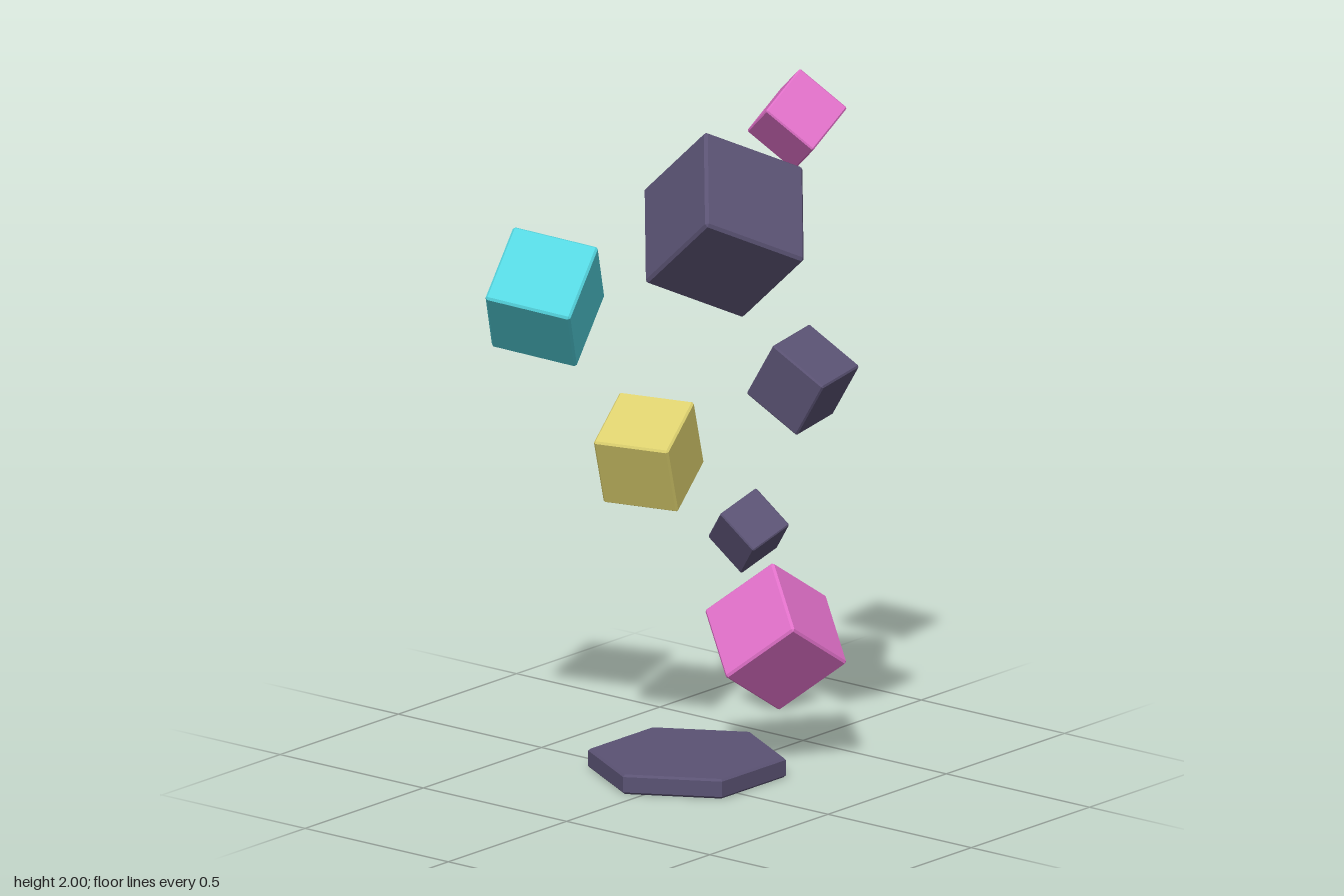
import * as THREE from 'three';
import { ConvexGeometry } from 'three/addons/geometries/ConvexGeometry.js';

const paint = (name, color) => {
  const m = new THREE.MeshStandardMaterial({ color });
  m.name = name;
  return m;
};

// Cube of side s with thin chamfers along every edge
function chamferedCube(s) {
  const h = s / 2, i = h - s * 0.025, points = [];
  for (const x of [-1, 1]) for (const y of [-1, 1]) for (const z of [-1, 1]) {
    points.push(
      new THREE.Vector3(x * h, y * i, z * i),
      new THREE.Vector3(x * i, y * h, z * i),
      new THREE.Vector3(x * i, y * i, z * h));
  }
  return new ConvexGeometry(points);
}

// Floating cube, turned so that two of its edges run along p and q
function cube(name, material, size, centre, p, q) {
  const mesh = new THREE.Mesh(chamferedCube(size), material);
  const x = new THREE.Vector3(...p).normalize();
  const z = x.clone().cross(new THREE.Vector3(...q)).normalize();
  const y = z.clone().cross(x);
  mesh.quaternion.setFromRotationMatrix(new THREE.Matrix4().makeBasis(x, y, z));
  mesh.position.set(...centre);
  mesh.name = name;
  return mesh;
}

export function createModel() {
  const slate = paint('slate', 0x5a5273);
  const pink = paint('pink', 0xe070c8);
  const yellow = paint('yellow', 0xdcd06e);
  const teal = paint('teal', 0x55d6e0);

  const model = new THREE.Group();
  model.name = 'floatingCubes';

  // Hexagonal base plate with a small bevel on both rims
  const profile = [[0, 0], [0.263, 0], [0.27, 0.006], [0.27, 0.049], [0.263, 0.055], [0, 0.055]]
    .map(([r, y]) => new THREE.Vector2(r, y));
  const plate = new THREE.LatheGeometry(profile, 6).toNonIndexed();
  plate.computeVertexNormals();
  const base = new THREE.Mesh(plate, slate);
  base.name = 'basePlate';
  base.position.set(-0.045, 0, -0.064);
  model.add(base);

  // Cubes winding upwards from the base
  model.add(
    cube('lowerPinkCube', pink, 0.242, [0.108, 0.368, -0.254], [-0.164, 0.132, -0.11], [0.175, 0.143, -0.075]),
    cube('smallSlateCube', slate, 0.137, [-0.065, 0.611, -0.349], [-0.085, -0.091, -0.051], [0.099, -0.089, -0.017]),
    cube('yellowCube', yellow, 0.215, [-0.206, 0.862, -0.097], [0.201, -0.005, -0.068], [-0.032, -0.193, -0.082]),
    cube('middleSlateCube', slate, 0.183, [0.22, 1.114, -0.233], [-0.021, 0.016, -0.18], [-0.095, -0.153, 0]),
    cube('tealCube', teal, 0.242, [-0.283, 1.362, 0.249], [0.217, -0.037, -0.09], [-0.085, -0.18, -0.13]),
    cube('largeSlateCube', slate, 0.314, [0.191, 1.611, 0.065], [-0.228, -0.208, -0.017], [0.1525, -0.194, 0.186]),
    cube('topPinkCube', pink, 0.166, [0.236, 1.858, -0.189], [-0.119, -0.093, -0.063], [0.114, -0.1, -0.06]));

  return model;
}
